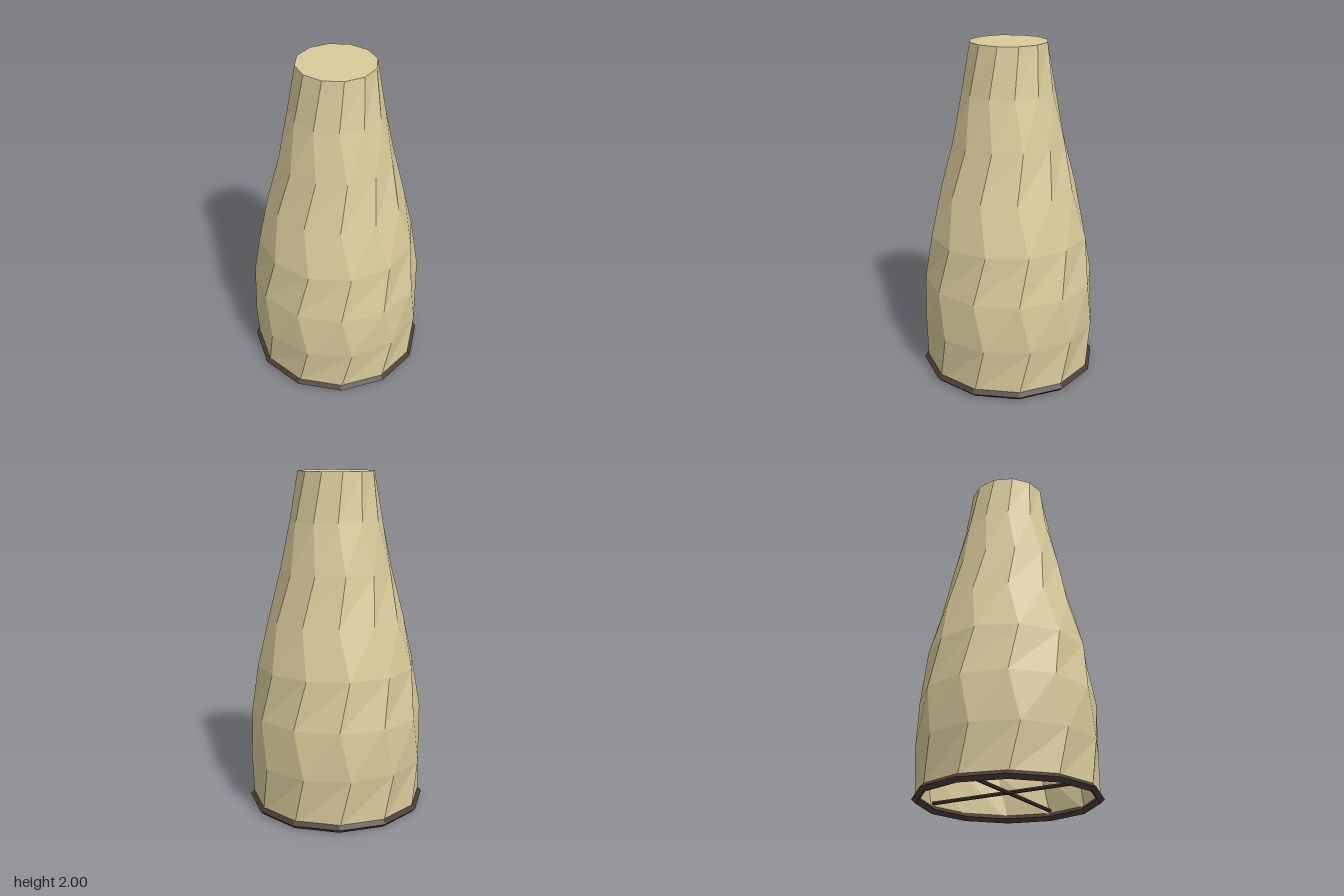
import * as THREE from 'three';

const SIDES = 12;
const TWIST = 0.125;   // every second ring is turned by this angle
const BASE_Y = 0.0235;
const RADII = [0.51, 0.52, 0.51, 0.47, 0.4, 0.332, 0.27, 0.224]; // bottom to top

export function createModel() {
  const fabric = new THREE.MeshStandardMaterial({ color: 0xd8ca9a, flatShading: true, side: THREE.DoubleSide });
  fabric.name = 'beige fabric';
  const metal = new THREE.MeshStandardMaterial({ color: 0x4a3c36, flatShading: true });
  metal.name = 'dark brown metal';

  const group = new THREE.Group();
  const add = (name, geometry, material, y = 0) => {
    const mesh = new THREE.Mesh(geometry, material);
    mesh.name = name;
    mesh.position.y = y;
    group.add(mesh);
    return mesh;
  };

  // Faceted wall: stacked rings with alternating twist, open below
  const rows = RADII.length - 1;
  const wall = new THREE.CylinderGeometry(1, 1, 1, SIDES, rows, true);
  const pos = wall.attributes.position;
  for (let i = 0; i < pos.count; i++) {
    const row = rows - Math.floor(i / (SIDES + 1));
    const angle = (i % (SIDES + 1)) / SIDES * Math.PI * 2 + (row % 2) * TWIST;
    pos.setXYZ(i,
      RADII[row] * Math.sin(angle),
      BASE_Y + (2 - BASE_Y) * row / rows,
      RADII[row] * Math.cos(angle));
  }
  wall.computeVertexNormals();
  add('wall', wall, fabric);

  // Flat top
  const top = new THREE.CircleGeometry(RADII[rows], SIDES);
  top.rotateX(-Math.PI / 2).rotateY(TWIST);
  add('topCap', top, fabric, 2);

  // Diamond-section ring round the lower edge
  const rim = new THREE.TorusGeometry(0.508, BASE_Y, 4, SIDES);
  rim.rotateX(Math.PI / 2);
  add('bottomRim', rim, metal, BASE_Y);

  // Crossed rods in the opening
  for (const turn of [0, Math.PI / 2]) {
    const rod = new THREE.CylinderGeometry(0.011, 0.011, 1.0, 6);
    rod.rotateZ(Math.PI / 2).rotateY(turn);
    add('crossRod', rod, metal, 0.06);
  }

  // Small faceted bulb hanging inside on a thin cord
  add('bulb', new THREE.SphereGeometry(0.08, 6, 4), fabric, 0.24);
  add('cord', new THREE.CylinderGeometry(0.008, 0.008, 1.69, 6), metal, 1.15);

  return group;
}
